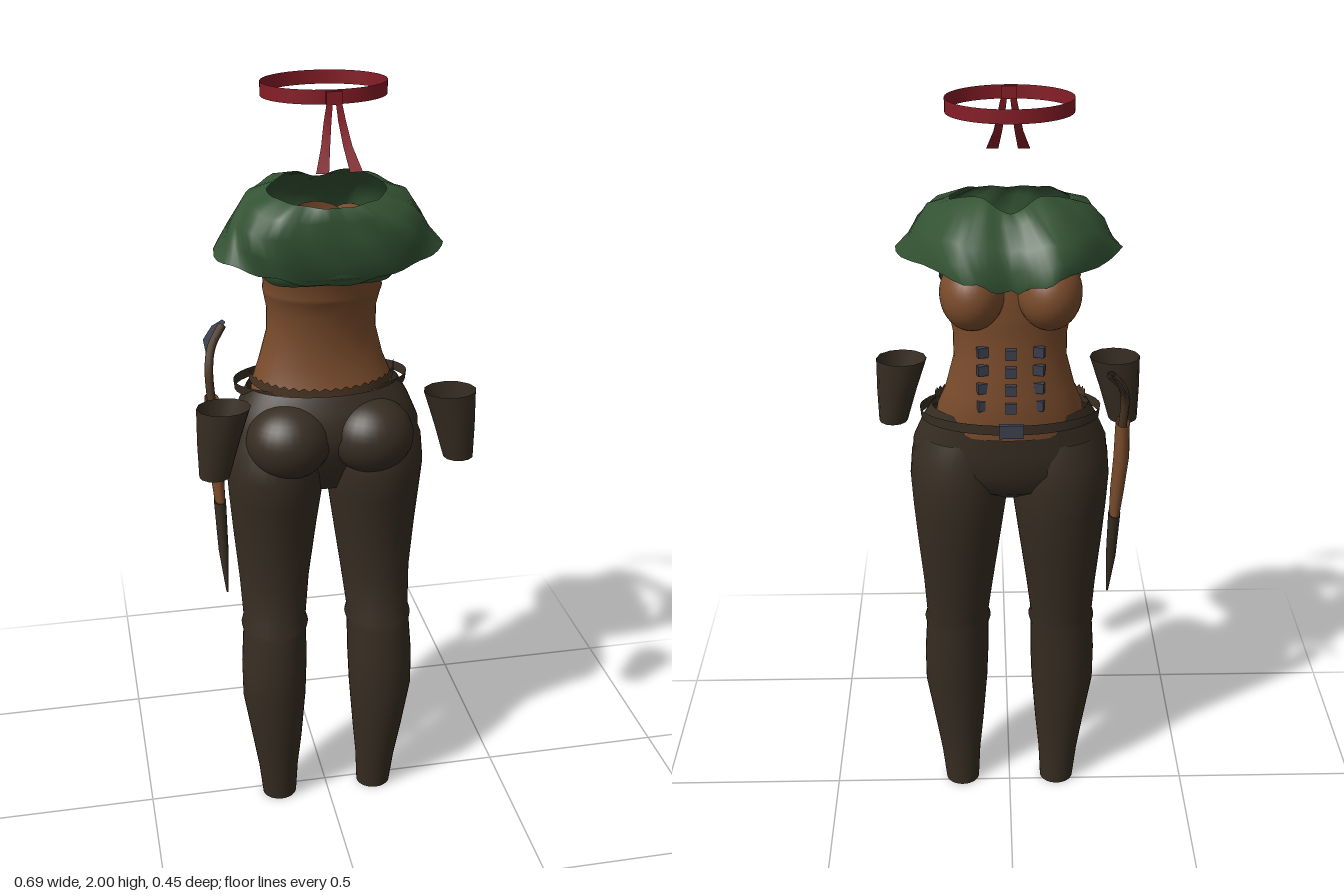
import * as THREE from 'three';

const mat = (name, color) => new THREE.MeshStandardMaterial({ name, color, side: THREE.DoubleSide });
const V = (x, y, z) => new THREE.Vector3(x, y, z);

// Surface through rows of equally many points
function skin(rows, closed = false) {
  const n = rows[0].length, pos = [], idx = [];
  rows.forEach((r) => r.forEach((p) => pos.push(p.x, p.y, p.z)));
  for (let i = 0; i < rows.length - 1; i++) {
    for (let j = 0; j < (closed ? n : n - 1); j++) {
      const k = (j + 1) % n, a = i * n + j, b = i * n + k, c = a + n, d = b + n;
      idx.push(a, c, b, b, c, d);
    }
  }
  const g = new THREE.BufferGeometry();
  g.setAttribute('position', new THREE.Float32BufferAttribute(pos, 3));
  g.setIndex(idx);
  g.computeVertexNormals();
  return g;
}

// Ellipse ring: height, centre x, half width, lowest and highest z
function ring([y, cx, rx, z0, z1], n = 32, lift = 0) {
  return Array.from({ length: n }, (_, i) => {
    const a = (i / n) * Math.PI * 2, s = Math.sin(a);
    return V(cx + rx * Math.cos(a), y + lift * s * s, (z0 + z1) / 2 + ((z1 - z0) / 2) * s);
  });
}

// Closed loop mirrored from half of its control points (front to back)
function mirrorLoop(half, n = 56) {
  const pts = half.map((p) => V(...p));
  const other = half.slice(1, -1).reverse().map(([x, y, z]) => V(-x, y, z));
  return new THREE.CatmullRomCurve3([...pts, ...other], true).getPoints(n).slice(0, n);
}

export function createModel() {
  const model = new THREE.Group();
  const skinTan = mat('tan', 0x7b4c2c), dark = mat('dark brown cloth', 0x372d22);
  const green = mat('forest green', 0x335233), red = mat('ribbon red', 0x861c26);
  const steel = mat('blue grey metal', 0x3c3f4e), leather = mat('leather brown', 0x493523);
  const add = (name, geo, m, parent = model) => {
    const mesh = new THREE.Mesh(geo, m);
    mesh.name = name;
    parent.add(mesh);
    return mesh;
  };

  // Trouser legs, hollow with a ridge under the knee
  const legRings = [
    [0, .137, .047, -.022, .068], [.1, .14, .055, -.025, .082], [.2, .143, .068, -.03, .1],
    [.35, .149, .086, -.047, .119], [.45, .147, .088, -.058, .12], [.55, .143, .085, -.065, .11],
    [.57, .142, .09, -.07, .11], [.59, .142, .084, -.069, .101], [.7, .138, .093, -.09, .082],
    [.85, .134, .11, -.12, .1], [.95, .131, .121, -.138, .122], [1.03, .131, .126, -.145, .14],
    [1.1, .129, .122, -.14, .13], [1.16, .12, .108, -.125, .1],
  ];
  for (const s of [-1, 1]) {
    const side = s > 0 ? 'left' : 'right';
    add(side + 'TrouserLeg', skin(legRings.map(([y, cx, ...r]) => ring([y, s * cx, ...r])), true), dark);
    const seat = add(side + 'Seat', new THREE.SphereGeometry(1, 28, 20), dark);
    seat.scale.set(.108, .098, .1);
    seat.position.set(s * .107, 1.125, .07);
    const bust = add(side + 'Bust', new THREE.SphereGeometry(1, 28, 20), skinTan);
    bust.scale.set(.077, .09, .09);
    bust.position.set(s * .091, 1.575, -.138);
  }

  // Hip section of the trousers
  add('trouserHips', skin([
    [.97, 0, .09, -.04, .05], [1.02, 0, .19, -.115, .08], [1.08, 0, .251, -.142, .105],
    [1.14, 0, .245, -.145, .125], [1.2, 0, .22, -.146, .105], [1.243, 0, .196, -.148, .085],
  ].map((r) => ring(r, 40)), true), dark);

  // Waist and chest, open at the top
  const torso = [
    [1.19, 0, .19, -.15, .08], [1.25, 0, .18, -.155, .067], [1.3, 0, .16, -.155, .046],
    [1.38, 0, .139, -.15, .048], [1.44, 0, .139, -.15, .058], [1.48, 0, .147, -.152, .072],
    [1.495, 0, .15, -.155, .085], [1.51, 0, .147, -.155, .078], [1.535, 0, .153, -.157, .095],
  ].map((r) => ring(r, 40));
  torso.push(ring([1.56, 0, .156, -.16, .11], 40, .04), ring([1.575, 0, .158, -.15, .125], 40, .1));
  add('torso', skin(torso, true), skinTan);

  // Draped top, collar to hem, with soft folds
  const drape = [
    [[0, 1.752, -.1], [.07, 1.778, -.055], [.142, 1.755, .01], [.1, 1.748, .12], [0, 1.74, .15]],
    [[0, 1.735, -.135], [.09, 1.755, -.125], [.195, 1.738, .01], [.15, 1.72, .14], [0, 1.71, .168]],
    [[0, 1.69, -.175], [.12, 1.705, -.18], [.23, 1.69, .025], [.185, 1.68, .14], [0, 1.66, .16]],
    [[0, 1.645, -.2], [.12, 1.665, -.212], [.246, 1.66, .035], [.185, 1.63, .14], [0, 1.61, .168]],
    [[0, 1.595, -.195], [.11, 1.63, -.22], [.278, 1.615, .06], [.165, 1.58, .135], [0, 1.55, .14]],
  ].map((r) => mirrorLoop(r));
  drape.forEach((r, i) => r.forEach((p, j) => {
    const f = .005 * Math.sin(j * 1.3 + i * 2);
    p.z += p.z > 0 ? f : f * .3;
    if (i > 0) p.y += f;
  }));
  add('drapedTop', skin(drape, true), green);

  // Lower hem of the top, wrapped around the back
  const hem = (x, y, z) => new THREE.CatmullRomCurve3([
    V(-x, y + .03, -.1), V(-x - .005, y, 0), V(-x * .85, y - .005, z * .75), V(0, y, z),
    V(x * .85, y - .005, z * .75), V(x + .005, y, 0), V(x, y + .03, -.1),
  ]).getPoints(36);
  add('topHem', skin([hem(.162, 1.585, .15), hem(.165, 1.57, .155), hem(.155, 1.548, .125)]), green);

  // Waistband with a notched edge across the back
  const band = (y, k) => Array.from({ length: 45 }, (_, i) => {
    const a = (i / 44) * Math.PI, s = Math.sin(a);
    return V(.187 * Math.cos(a), y - .022 * s + k * (i % 2), -.045 + .118 * s);
  });
  add('waistband', skin([band(1.255, 0), band(1.275, .008)]), leather);

  // Loose belt, buckle and front studs
  add('belt', skin([[1.222, 0, .222, -.182, .06], [1.247, 0, .225, -.18, .06]].map((r) => ring(r, 40)), true), dark);
  add('buckle', new THREE.BoxGeometry(.06, .035, .012), steel).position.set(0, 1.235, -.186);
  for (let row = 0; row < 4; row++) {
    for (const x of [-.068, 0, .068]) {
      const stud = add('stud', new THREE.BoxGeometry(.026, .026, .014), steel);
      stud.position.set(x, 1.425 - row * .047, x ? -.142 : -.158);
      stud.rotation.y = x * 5;
    }
  }

  // Open tapered hip pouches
  for (const s of [-1, 1]) {
    const cup = [[1.095, s * .307, .038, .135, .207], [1.185, s * .295, .052, .125, .216], [1.275, s * .28, .066, .115, .225]];
    add(s > 0 ? 'leftPouch' : 'rightPouch', skin(cup.map((r) => ring(r, 12)), true), dark);
  }

  // Dagger at the right hip
  const dagger = new THREE.Group();
  dagger.name = 'dagger';
  model.add(dagger);
  add('sheath', skin([
    [1.2, -.282, .018, -.1, -.035], [1.1, -.283, .02, -.095, -.025], [1, -.277, .018, -.08, -.015], [.92, -.273, .014, -.065, -.012],
  ].map((r) => ring(r, 12)), true), skinTan, dagger);
  add('sheathTip', skin([
    [.92, -.273, .016, -.068, -.01], [.78, -.27, .013, -.04, 0], [.66, -.265, .003, -.01, 0],
  ].map((r) => ring(r, 12)), true), dark, dagger);
  const grip = new THREE.CatmullRomCurve3([V(-.282, 1.18, -.065), V(-.284, 1.27, -.085), V(-.272, 1.32, -.115), V(-.24, 1.365, -.145)]);
  add('grip', new THREE.TubeGeometry(grip, 14, .011, 8), leather, dagger);
  add('pommelPlate', skin([
    [V(-.284, 1.285, -.105), V(-.286, 1.315, -.183)],
    [V(-.262, 1.34, -.115), V(-.262, 1.35, -.185)],
    [V(-.23, 1.372, -.148), V(-.237, 1.375, -.16)],
  ]), steel, dagger);

  // Headband with knot and two tails
  add('headband', skin([[1.967, 0, .15, -.13, .103], [2, 0, .15, -.13, .103]].map((r) => ring(r, 40)), true), red);
  add('headbandKnot', new THREE.BoxGeometry(.036, .03, .014), red).position.set(0, 1.982, .105);
  for (const s of [-1, 1]) {
    const tail = [[.003, .017, 1.975, .11], [.008, .026, 1.93, .117], [.015, .036, 1.88, .138], [.024, .054, 1.828, .172]];
    add('headbandTail', skin(tail.map(([a, b, y, z]) => [V(s * a, y, z), V(s * b, y, z)])), red);
  }
  return model;
}
